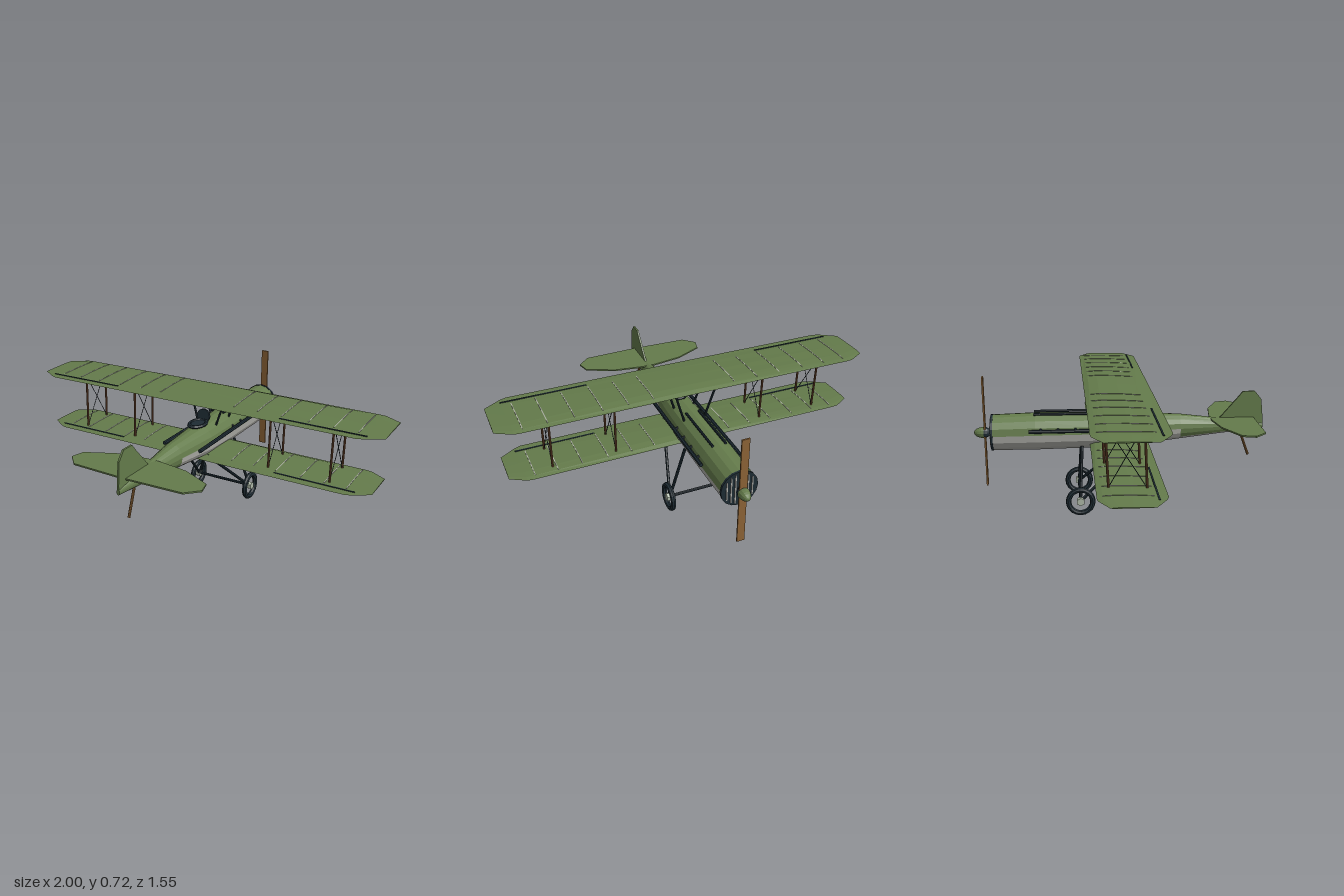
import * as THREE from 'three';

const mat = (name, color, extra = {}) => {
  const m = new THREE.MeshStandardMaterial({ color, flatShading: true, ...extra });
  m.name = name;
  return m;
};
const V = (x, y, z) => new THREE.Vector3(x, y, z);

// Skin a row of closed rings; keep(i, j) picks which panels are made
function loft(rings, keep = () => true, caps = true) {
  const p = [];
  const tri = (...v) => v.forEach(q => p.push(q.x, q.y, q.z));
  const n = rings[0].length;
  for (let i = 0; i < rings.length - 1; i++)
    for (let j = 0; j < n; j++) {
      if (!keep(i, j)) continue;
      const k = (j + 1) % n, a = rings[i], b = rings[i + 1];
      tri(a[j], a[k], b[k]);
      tri(a[j], b[k], b[j]);
    }
  if (caps) {
    const a = rings[0], b = rings[rings.length - 1];
    for (let j = 1; j < n - 1; j++) {
      tri(a[0], a[j + 1], a[j]);
      tri(b[0], b[j], b[j + 1]);
    }
  }
  const g = new THREE.BufferGeometry();
  g.setAttribute('position', new THREE.Float32BufferAttribute(p, 3));
  g.computeVertexNormals();
  return g;
}

export function createModel() {
  const root = new THREE.Group();
  root.name = 'biplane';
  const green = mat('olive green', 0x647b4b);
  const grey = mat('pale grey', 0xb2b2ac);
  const dark = mat('dark steel', 0x1e2c34);
  const wood = mat('propeller wood', 0x8c6336);
  const brown = mat('strut brown', 0x70492f);
  const hubMat = mat('hub grey', 0xaeb9a8);

  const add = (name, geo, material, parent = root) => {
    const m = new THREE.Mesh(geo, material);
    m.name = name;
    parent.add(m);
    return m;
  };
  // Round bar between two points
  const rod = (name, a, b, r, material, parent = root, sides = 8) => {
    const d = b.clone().sub(a);
    const m = add(name, new THREE.CylinderGeometry(r, r, d.length(), sides), material, parent);
    m.position.copy(a).add(b).multiplyScalar(0.5);
    m.quaternion.setFromUnitVectors(V(0, 1, 0), d.normalize());
    return m;
  };
  const box = (name, w, h, d, x, y, z, material, parent) => {
    const m = add(name, new THREE.BoxGeometry(w, h, d), material, parent);
    m.position.set(x, y, z);
    return m;
  };

  // Fuselage stations: z, half width, bottom, top
  const N = 16;
  const stations = [
    [-0.675, 0.093, 0.325, 0.516], [-0.45, 0.096, 0.323, 0.523], [-0.15, 0.094, 0.328, 0.519],
    [0.06, 0.086, 0.336, 0.514], [0.32, 0.06, 0.366, 0.502], [0.55, 0.031, 0.391, 0.474],
    [0.775, 0.009, 0.414, 0.442],
  ];
  const rings = stations.map(([z, w, b, t]) => Array.from({ length: N }, (_, j) => {
    const a = (j / N) * Math.PI * 2;
    return V(w * Math.cos(a), (b + t) / 2 + ((t - b) / 2) * Math.sin(a), z);
  }));
  const isBelly = (i, j) => (i < 4 ? j >= 8 : j >= 10 && j < 14);
  add('fuselageUpper', loft(rings, (i, j) => !isBelly(i, j)), green);
  add('fuselageBelly', loft(rings, isBelly, false), grey);

  // Nose radiator with upright slats
  const nose = add('radiator', new THREE.CylinderGeometry(0.097, 0.097, 0.012, 16), dark);
  nose.rotation.x = Math.PI / 2;
  nose.position.set(0, 0.42, -0.677);
  for (let i = -3; i <= 3; i++) {
    const x = i * 0.022;
    box('radiatorSlat', 0.006, 2 * Math.sqrt(0.083 ** 2 - x * x), 0.006, x, 0.42, -0.684, grey);
  }

  // Propeller, hub and spinner
  box('propeller', 0.04, 0.592, 0.008, 0, 0.423, -0.717, wood);
  rod('propellerShaft', V(0, 0.42, -0.68), V(0, 0.42, -0.72), 0.012, dark);
  const half = (name, sign, len, material) => {
    const m = add(name, new THREE.SphereGeometry(0.03, 12, 6, 0, Math.PI * 2, 0, Math.PI / 2), material);
    m.scale.y = len / 0.03;
    m.rotation.x = sign * Math.PI / 2;
    m.position.set(0, 0.42, -0.722);
  };
  half('spinner', -1, 0.053, green);
  half('hubBack', 1, 0.034, dark);

  // Wings: airfoil as chord fraction and height, leading to trailing edge
  const airfoil = [[0, 0.35], [0.08, 0.8], [0.22, 1], [0.5, 0.85], [0.8, 0.45], [1, 0.12]];
  const wing = (name, span, y, le, te, thick) => {
    const g = new THREE.Group();
    g.name = name;
    root.add(g);
    const tips = [[0, 0, 0, 1], [0.88, 0, 0, 0.5], [0.915, 0.004, -0.012, 0.45], [1, 0.052, -0.065, 0.25]];
    const section = (x, a, b, s) => {
      const top = airfoil.map(([t, h]) => V(x, y + thick * h * s, a + (b - a) * t));
      const under = [0.85, 0.5, 0.12].map(t => V(x, y, a + (b - a) * t));
      return [...top, ...under];
    };
    const right = tips.map(([x, a, b, s]) => section(x * span, le + a, te + b, s));
    const left = tips.slice(1).reverse().map(([x, a, b, s]) => section(-x * span, le + a, te + b, s));
    add(name + 'Panel', loft([...left, ...right]), green, g);
    const scaleAt = x => 1 - 0.5 * Math.abs(x) / (0.88 * span);
    for (const side of [-1, 1]) {
      // Rib tapes laid along the upper skin
      for (const r of [0.22, 0.35, 0.48, 0.62, 0.75, 0.87]) {
        const x = side * r * span;
        const line = airfoil.slice(1, 5).map(([t, h]) =>
          V(x, y + thick * h * scaleAt(x) + 0.0005, le + (te - le) * t));
        const strip = line.map(p => [[-1, 0], [-1, 1], [1, 1], [1, 0]].map(([dx, dy]) =>
          V(p.x - dx * 0.002, p.y + dy * 0.002, p.z)));
        add('ribTape', loft(strip), grey, g);
      }
      // Aileron hinge gap
      const gap = box('aileronGap', 0.44 * span, 0.003, 0.008, side * 0.7 * span,
        y + thick * 0.38 * scaleAt(0.7 * span) + 0.001, te - 0.045, dark, g);
      gap.rotation.z = -side * 0.004;
    }
  };
  wing('upperWing', 1, 0.652, -0.193, 0.155, 0.022);
  wing('lowerWing', 0.96, 0.356, -0.165, 0.148, 0.022);

  // Tailplane and fin cut from flat outlines
  const plate = (pts, depth) => {
    const g = new THREE.ExtrudeGeometry(new THREE.Shape(pts.map(p => new THREE.Vector2(...p))),
      { depth, bevelEnabled: false });
    return g.translate(0, 0, -depth / 2);
  };
  const halfTail = [[0.04, 0.487], [0.2, 0.512], [0.35, 0.583], [0.367, 0.65], [0.305, 0.712]];
  const tail = add('tailplane', plate([...halfTail, [0, 0.722],
    ...halfTail.map(([x, z]) => [-x, z]).reverse()], 0.008), green);
  tail.rotation.x = Math.PI / 2;
  tail.position.y = 0.473;
  const fin = add('fin', plate([[-0.775, 0.42], [-0.775, 0.46], [-0.762, 0.575], [-0.725, 0.62],
    [-0.66, 0.62], [-0.632, 0.585], [-0.54, 0.478], [-0.54, 0.43]], 0.01), green);
  fin.rotation.y = Math.PI / 2;
  rod('tailSkid', V(0, 0.4, 0.652), V(0, 0.265, 0.703), 0.007, wood);

  // Cockpit rim, floor and upright screen
  const rim = add('cockpitRim', new THREE.TorusGeometry(0.04, 0.009, 6, 16), dark);
  rim.scale.y = 1.45;
  rim.rotation.x = Math.PI / 2;
  rim.position.set(0, 0.523, 0.07);
  const floor = add('cockpitFloor', new THREE.CylinderGeometry(0.04, 0.04, 0.012, 16), dark);
  floor.scale.z = 1.45;
  floor.position.set(0, 0.52, 0.07);
  const screen = add('cockpitScreen', new THREE.CylinderGeometry(0.038, 0.038, 0.012, 12), dark);
  screen.rotation.x = Math.PI / 2 - 0.15;
  screen.position.set(0, 0.546, 0.01);

  // Wheel axle
  rod('axle', V(-0.17, 0.082, -0.22), V(0.17, 0.082, -0.22), 0.008, dark);

  for (const s of [-1, 1]) {
    // Wing struts with crossed bracing wires
    for (const x of [0.41, 0.74]) {
      rod('rearWingStrut', V(s * x, 0.36, 0.065), V(s * x, 0.658, 0.052), 0.006, brown);
      rod('frontWingStrut', V(s * x, 0.37, -0.108), V(s * x, 0.66, -0.122), 0.006, brown);
      rod('bracingWire', V(s * x, 0.37, 0.06), V(s * x, 0.655, -0.118), 0.002, dark, root, 5);
      rod('bracingWire', V(s * x, 0.37, -0.108), V(s * x, 0.655, 0.052), 0.002, dark, root, 5);
    }
    // Centre struts from fuselage to upper wing
    rod('centreStrut', V(s * 0.055, 0.49, -0.025), V(s * 0.107, 0.658, -0.04), 0.006, dark);
    rod('centreStrut', V(s * 0.055, 0.49, -0.162), V(s * 0.107, 0.658, -0.175), 0.006, dark);

    // Side pipe with stubs, and top rail
    rod('sidePipe', V(s * 0.106, 0.447, 0.23), V(s * 0.106, 0.447, -0.483), 0.01, dark);
    for (const z of [-0.42, -0.33, -0.24, -0.15])
      rod('pipeStub', V(s * 0.08, 0.455, z), V(s * 0.106, 0.447, z), 0.007, dark);
    rod('topRail', V(s * 0.035, 0.522, -0.14), V(s * 0.035, 0.522, -0.458), 0.007, dark);

    // Undercarriage legs and wheels
    rod('frontLeg', V(s * 0.07, 0.355, -0.206), V(s * 0.16, 0.088, -0.22), 0.008, dark);
    rod('rearLeg', V(s * 0.07, 0.362, 0.09), V(s * 0.16, 0.088, -0.21), 0.008, dark);
    const wheel = new THREE.Group();
    wheel.name = 'wheel';
    wheel.position.set(s * 0.168, 0.08, -0.22);
    wheel.rotation.y = Math.PI / 2;
    root.add(wheel);
    add('tyre', new THREE.TorusGeometry(0.064, 0.0145, 8, 20), dark, wheel);
    const hub = add('wheelHub', new THREE.CylinderGeometry(0.022, 0.022, 0.03, 6), hubMat, wheel);
    hub.rotation.x = Math.PI / 2;
  }
  return root;
}
